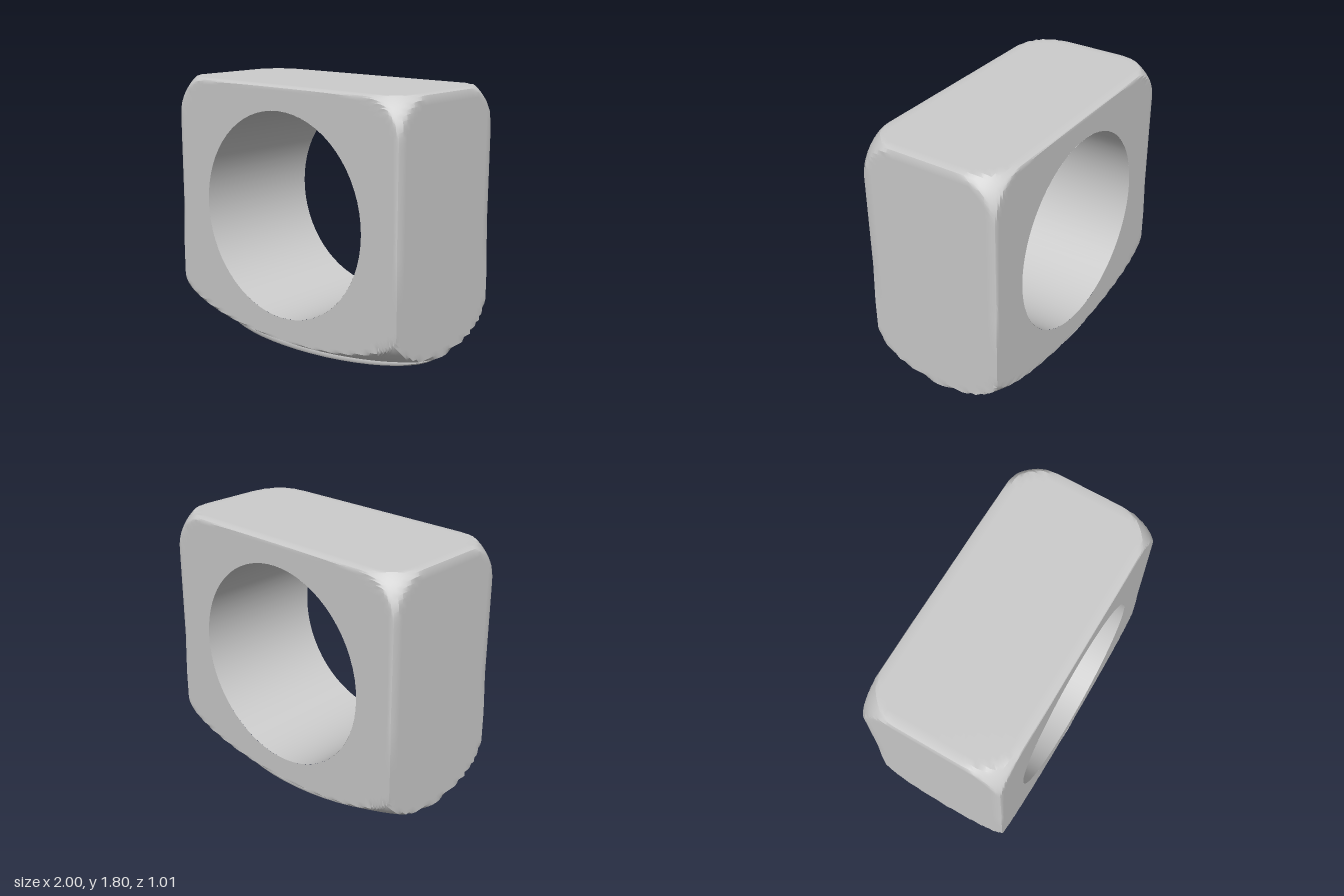
import * as THREE from 'three';
import { toCreasedNormals } from 'three/addons/utils/BufferGeometryUtils.js';

const BOTTOM = 0.05, TOP = 1.8, HALF_W = 1, HALF_D = 0.5;
const HOLE_Y = 0.925, HOLE_R = 0.71, SPLIT = 0.55;

const material = () => new THREE.MeshStandardMaterial({ color: 0xcccccc, side: THREE.DoubleSide });

// Trim value of a point: above the limit where the three faces meet in a corner
function isInside(x, y, z) {
  const low = y < SPLIT;
  const near = (dist, r) => Math.max(0, 1 - dist / r) ** 2;
  const sum = near(HALF_W - Math.abs(x), low ? 1 : 0.28)
    + near(low ? y - BOTTOM : TOP - y, 0.28)
    + near(HALF_D - Math.abs(z), low ? 0.5 : 0.28);
  // slightly softened edges on the upper part only
  const soften = 0.1 * THREE.MathUtils.clamp((y - SPLIT) / 0.3, 0, 1);
  return sum <= 2 - soften + 1e-6;
}

// Pull a box point inwards: level towards the axis below (ends in an ellipse), radially above
function trim(p) {
  if (isInside(p.x, p.y, p.z)) return p;
  const centre = new THREE.Vector3(0, p.y < SPLIT ? p.y : HOLE_Y, 0);
  let lo = 0.4, hi = 1;
  const q = new THREE.Vector3();
  for (let k = 0; k < 24; k++) {
    const mid = (lo + hi) / 2;
    q.lerpVectors(centre, p, mid);
    if (isInside(q.x, q.y, q.z)) lo = mid; else hi = mid;
  }
  return q.lerpVectors(centre, p, lo);
}

// Points around the front outline, counterclockwise
function outline() {
  const corners = [[-1, BOTTOM], [1, BOTTOM], [1, TOP], [-1, TOP]];
  const points = [], steps = 52;
  corners.forEach(([x, y], c) => {
    const [nx, ny] = corners[(c + 1) % 4];
    for (let i = 0; i < steps; i++) {
      const t = i / steps;
      points.push({ x: x + (nx - x) * t, y: y + (ny - y) * t, onBottom: c === 0 });
    }
  });
  return points;
}

// Hollow shell swept round the hole axis, open underneath
function shellGeometry() {
  const FACE = 16, SIDE = 28, rows = FACE * 2 + SIDE + 1;
  const loop = outline(), positions = [], index = [];
  loop.forEach((o, i) => {
    const dx = o.x, dy = o.y - HOLE_Y, scale = HOLE_R / Math.hypot(dx, dy);
    for (let j = 0; j < rows; j++) {
      const fromEnd = Math.min(j, rows - 1 - j);
      const t = scale + (1 - scale) * Math.min(1, fromEnd / FACE);
      const z = HALF_D * (1 - 2 * THREE.MathUtils.clamp((j - FACE) / SIDE, 0, 1));
      const p = trim(new THREE.Vector3(dx * t, HOLE_Y + dy * t, z));
      positions.push(p.x, p.y, p.z);
      const underside = o.onBottom && j >= FACE && j < FACE + SIDE;
      if (j < rows - 1 && !underside) {
        const a = i * rows + j, b = ((i + 1) % loop.length) * rows + j;
        index.push(a, a + 1, b, b, a + 1, b + 1);
      }
    }
  });
  const geometry = new THREE.BufferGeometry();
  geometry.setAttribute('position', new THREE.Float32BufferAttribute(positions, 3));
  geometry.setIndex(index);
  return toCreasedNormals(geometry, 0.5);
}

export function createModel() {
  const group = new THREE.Group();
  const add = (name, geometry) => {
    const mesh = new THREE.Mesh(geometry, material());
    mesh.name = name;
    group.add(mesh);
    return mesh;
  };

  add('shell', shellGeometry());

  // Round tunnel from front to back
  const tunnel = new THREE.CylinderGeometry(HOLE_R, HOLE_R, HALF_D * 2, 64, 1, true);
  tunnel.rotateX(Math.PI / 2).translate(0, HOLE_Y, 0);
  add('tunnel', tunnel);

  // Elliptical rim round the opening underneath
  const profile = [
    [0.9, 0.05], [0.9, 0.012], [0.912, 0], [0.925, 0], [0.937, 0.012],
    [0.937, 0.035], [0.928, 0.045], [0.95, 0.046], [1, 0.05],
  ].map(([r, y]) => new THREE.Vector2(r, y));
  const rim = new THREE.LatheGeometry(profile, 48);
  rim.scale(1, 1, 0.508).scale(0.995, 1, 0.99);
  add('bottomRim', toCreasedNormals(rim, 0.7));

  return group;
}
